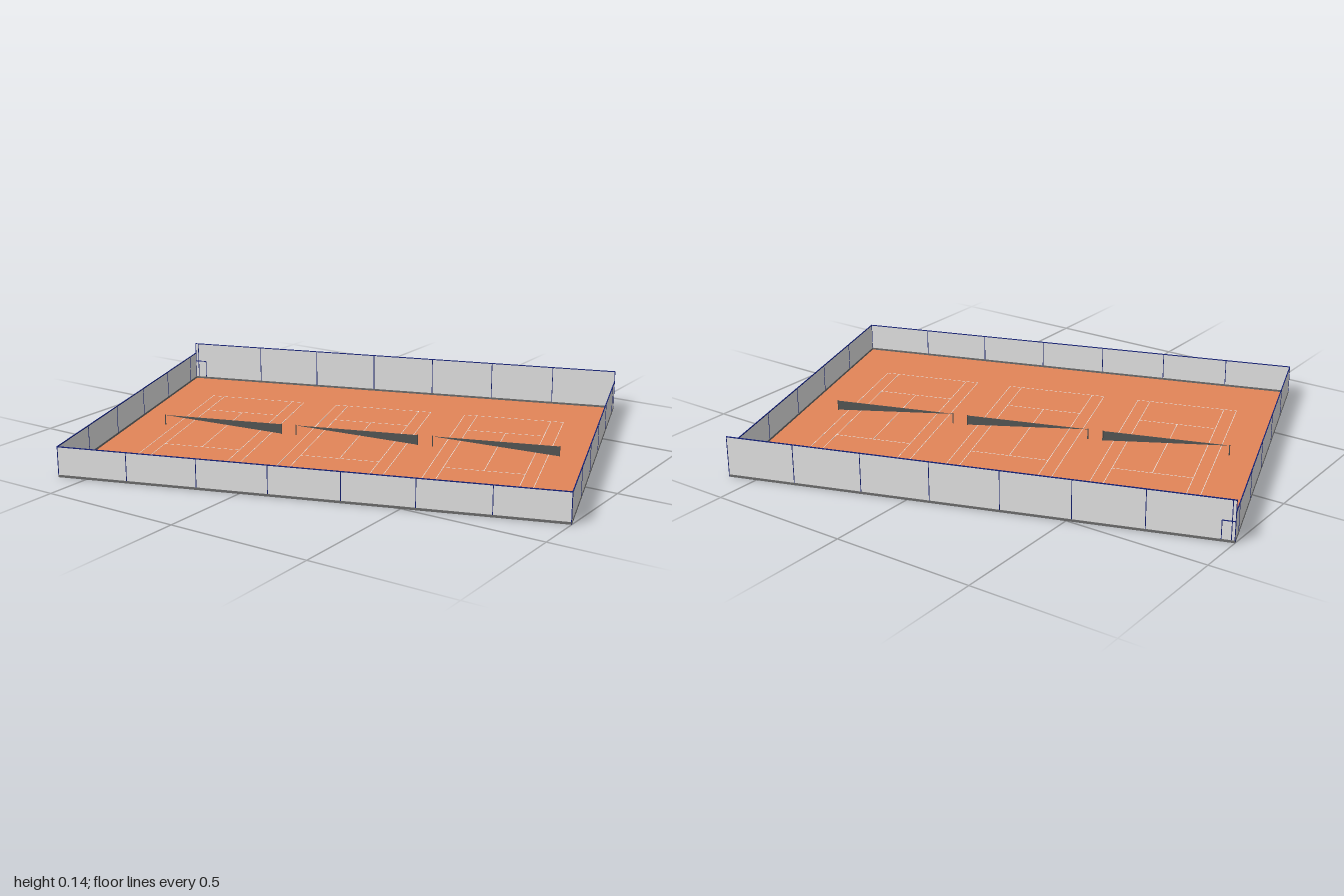
import * as THREE from 'three';

const mat = (name, color, side = THREE.FrontSide) => {
  const m = new THREE.MeshStandardMaterial({ color, side });
  m.name = name;
  return m;
};

export function createModel() {
  const clay = mat('clay', 0xe38558, THREE.DoubleSide);
  const white = mat('white line', 0xffffff);
  const mesh = mat('fence grey', 0xe5e5e5, THREE.DoubleSide);
  const navy = mat('navy steel', 0x13207a);
  const curbGrey = mat('curb grey', 0x6c6c6c);
  const netDark = mat('net dark', 0x545655);

  const W = 1.68, D = 1.268, LOW = 0.106, HIGH = 0.145, T = 0.003;

  const model = new THREE.Group();
  const site = new THREE.Group();
  site.name = 'tennisCourts';
  site.rotation.y = 0.327;
  model.add(site);

  const add = (parent, name, geometry, material, x = 0, y = 0, z = 0) => {
    const m = new THREE.Mesh(geometry, material);
    m.name = name;
    m.position.set(x, y, z);
    parent.add(m);
    return m;
  };
  const box = (parent, name, material, w, h, d, x, y, z) =>
    add(parent, name, new THREE.BoxGeometry(w, h, d), material, x, y, z);
  const post = (parent, name, material, r, h, x) =>
    add(parent, name, new THREE.CylinderGeometry(r, r, h, 6), material, x, h / 2, 0);

  // Clay ground sheet
  add(site, 'ground', new THREE.PlaneGeometry(W, D).rotateX(-Math.PI / 2), clay, 0, 0.001, 0);

  // Net tapers from its full-height end to the top of the far post
  const netShape = new THREE.Shape([
    new THREE.Vector2(-0.222, 0.037),
    new THREE.Vector2(0.222, 0.002),
    new THREE.Vector2(0.222, 0.037),
  ]);
  const netGeometry = new THREE.ExtrudeGeometry(netShape, { depth: 0.001, bevelEnabled: false });

  // Three courts: painted lines, net and net posts
  const halfW = 0.184, halfL = 0.4, single = 0.138, service = 0.215, line = 0.002;
  for (const cx of [-0.498, 0, 0.498]) {
    const court = new THREE.Group();
    court.name = 'court';
    court.position.x = cx;
    site.add(court);
    const paint = (name, w, d, x, z) => box(court, name, white, w, 0.0008, d, x, 0.001, z);
    for (const s of [-1, 1]) {
      paint('doublesSideline', line, halfL * 2, s * halfW, 0);
      paint('singlesSideline', line, halfL * 2, s * single, 0);
      paint('baseline', halfW * 2, line, 0, s * halfL);
      paint('serviceLine', single * 2, line, 0, s * service);
      post(court, 'netPost', netDark, 0.002, 0.039, s * 0.222);
    }
    paint('centreLine', line, service * 2, 0, 0);
    add(court, 'net', netGeometry, netDark, 0, 0, -0.0005);
  }

  // One fence side along local +x from its first corner, with posts at the given distances
  const fence = (name, length, height, posts, x, z, turn) => {
    const side = new THREE.Group();
    side.name = name;
    side.position.set(x, 0, z);
    side.rotation.y = turn;
    site.add(side);
    add(side, 'fenceMesh', new THREE.PlaneGeometry(length, height), mesh, length / 2, height / 2, 0);
    box(side, 'topRail', navy, length, T, T, length / 2, height - T / 2, 0);
    box(side, 'curb', curbGrey, length, 0.008, T, length / 2, 0.004, 0);
    for (const p of posts) post(side, 'fencePost', navy, 0.0014, height, p);
    return side;
  };
  const every = (step, n) => Array.from({ length: n }, (_, i) => i * step);

  fence('frontFence', W, LOW, every(0.24, 8), -W / 2, D / 2, 0);
  fence('leftFence', D, LOW, every(0.24, 6), W / 2, D / 2, Math.PI / 2);
  fence('rightFence', D, LOW, every(0.24, 6), -W / 2, D / 2, Math.PI / 2);
  const back = fence('backFence', W, HIGH, [...every(0.234, 7), W - 0.011, W], W / 2, -D / 2, Math.PI);

  // Small gate at the end of the back fence
  box(back, 'gateTopRail', navy, 0.042, T, T, W - 0.021, 0.072, 0);
  post(back, 'gatePost', navy, 0.0014, 0.072, W - 0.042);

  return model;
}
